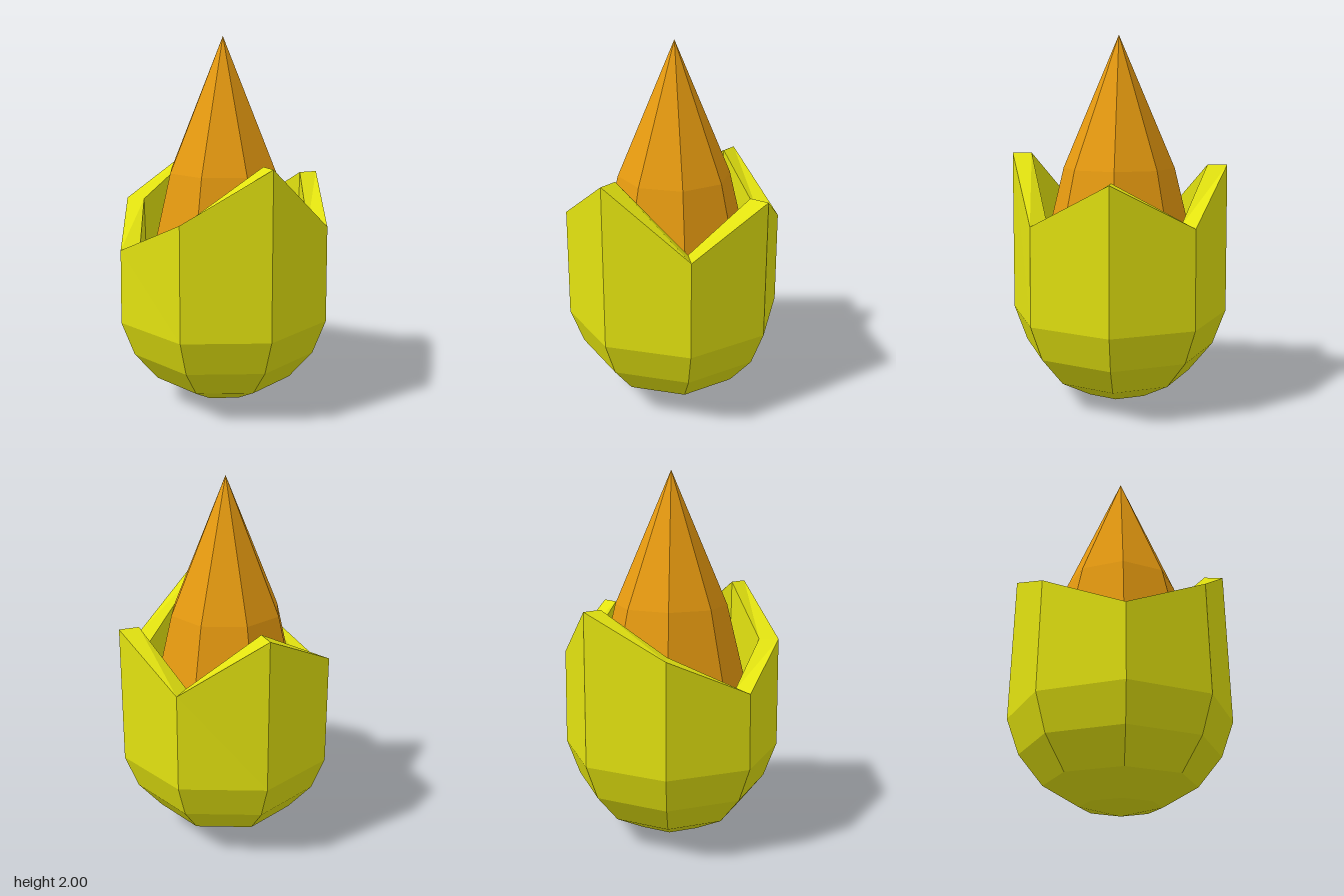
import * as THREE from 'three';

const SIDES = 8;
const TWIST = THREE.MathUtils.degToRad(3);

// Faceted lathe: each ring is [radius, height], where height may be one value per side
function facetedLathe(rings) {
  const point = ([r, y], k) => {
    const a = TWIST + (k * Math.PI * 2) / SIDES;
    return [r * Math.cos(a), Array.isArray(y) ? y[k % SIDES] : y, r * Math.sin(a)];
  };
  const pos = [];
  for (let i = 0; i < rings.length - 1; i++) {
    const low = rings[i], high = rings[i + 1];
    for (let k = 0; k < SIDES; k++) {
      const a = point(low, k), b = point(high, k), c = point(high, k + 1), d = point(low, k + 1);
      if (high[0] > 0) pos.push(...a, ...b, ...c);
      if (low[0] > 0) pos.push(...a, ...(high[0] > 0 ? c : b), ...d);
    }
  }
  const geo = new THREE.BufferGeometry();
  geo.setAttribute('position', new THREE.Float32BufferAttribute(pos, 3));
  geo.computeVertexNormals();
  return geo;
}

function part(name, color, rings) {
  const mesh = new THREE.Mesh(
    facetedLathe(rings),
    new THREE.MeshStandardMaterial({ color, flatShading: true })
  );
  mesh.name = name;
  return mesh;
}

export function createModel() {
  const group = new THREE.Group();
  group.name = 'bud';

  // Cup: rounded bottom, straight wall, jagged rim, hollow inside
  const rim = [1.02, 1.37, 1.10, 0.90, 1.10, 1.31, 1.02, 1.25];
  group.add(part('cup', 0xe2e210, [
    [0, 0], [0.21, 0.045], [0.395, 0.15], [0.525, 0.31], [0.595, 0.5],
    [0.588, rim], [0.482, rim],
    [0.47, 0.5], [0.4, 0.33], [0.27, 0.18], [0, 0.1],
  ]));

  // Core: pointed cone flaring into a body held inside the cup
  group.add(part('core', 0xe69a10, [
    [0, 0.3], [0.37, 0.45], [0.45, 0.7], [0.305, 1.29], [0, 2],
  ]));

  return group;
}
